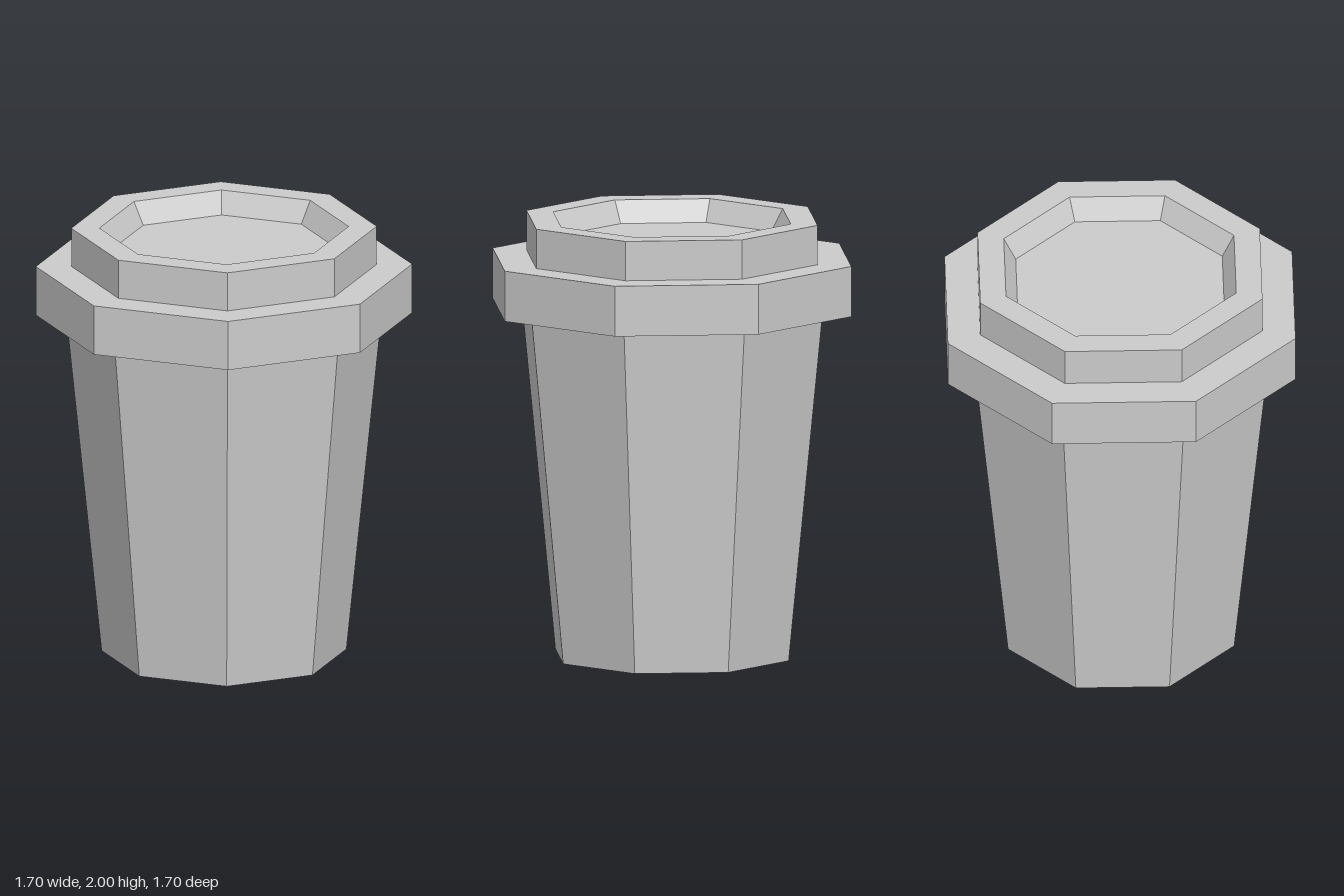
import * as THREE from 'three';

const SIDES = 8;

// Faceted solid of revolution from [radius, height] pairs, running bottom to top on the outside
function turned(name, profile, material) {
  const points = profile.map(([r, y]) => new THREE.Vector2(r, y));
  const mesh = new THREE.Mesh(new THREE.LatheGeometry(points, SIDES), material);
  mesh.name = name;
  return mesh;
}

export function createModel() {
  const group = new THREE.Group();
  group.name = 'takeawayCup';
  const material = new THREE.MeshStandardMaterial({ color: 0xcccccc, flatShading: true });

  // Tapered cup with a closed base
  group.add(turned('cupBody', [[0, 0], [0.553, 0], [0.713, 1.59]], material));

  // Lid: overhanging band, raised rim and a shallow sloped recess
  group.add(turned('lid', [
    [0.713, 1.59], [0.85, 1.59], [0.85, 1.82],
    [0.69, 1.82], [0.69, 2],
    [0.563, 2], [0.505, 1.9], [0, 1.9],
  ], material));

  return group;
}
